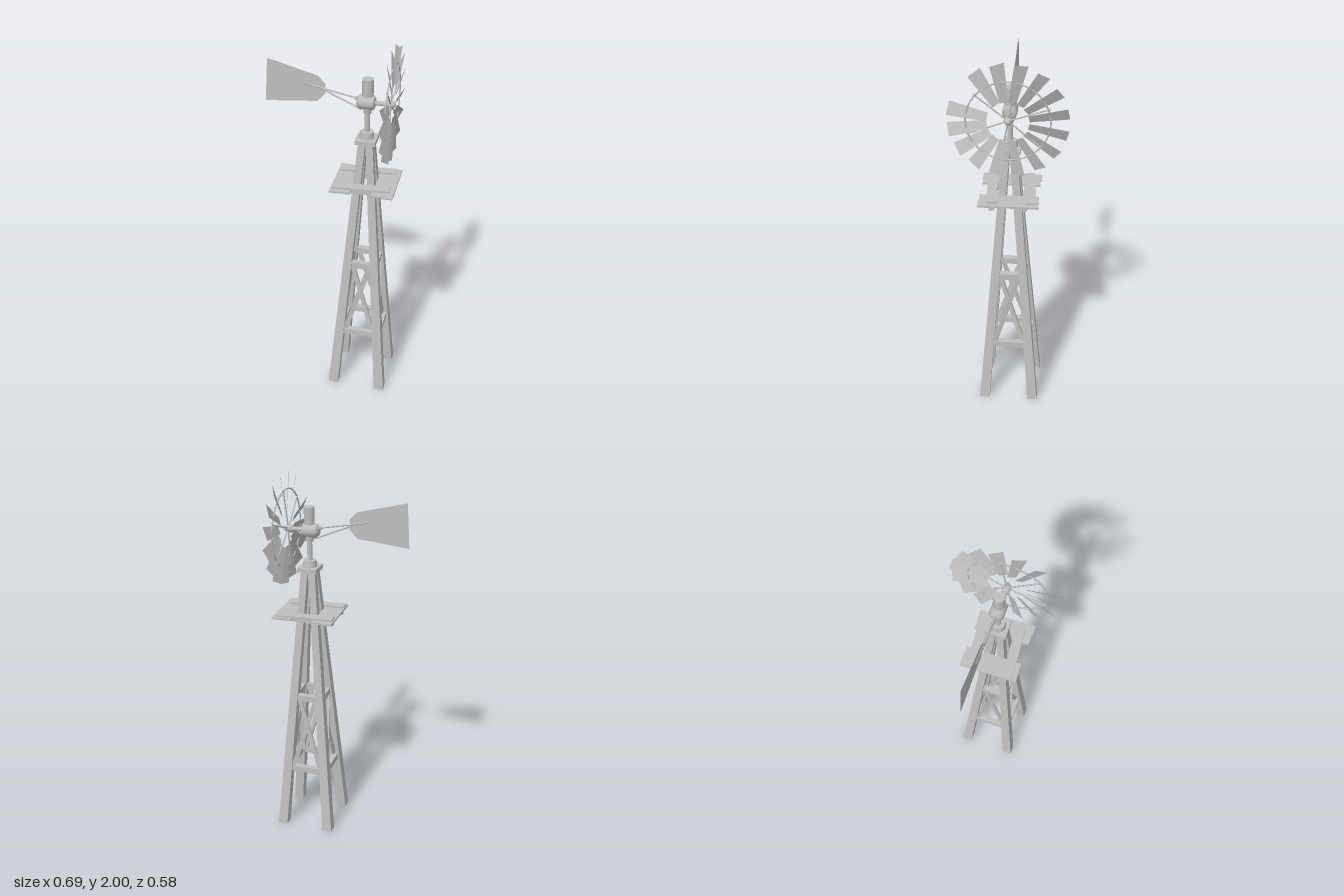
import * as THREE from 'three';

export function createModel() {
  const model = new THREE.Group();
  model.name = 'windPump';
  const grey = new THREE.MeshStandardMaterial({ color: 0xbfbfbf });
  grey.name = 'weathered grey';
  const greySheet = new THREE.MeshStandardMaterial({ color: 0xbfbfbf, side: THREE.DoubleSide });
  greySheet.name = 'weathered grey sheet';
  const CX = 0.177, HUB_Y = 1.712;
  const V = (x, y, z) => new THREE.Vector3(x, y, z);

  const add = (parent, name, geo, x = 0, y = 0, z = 0, mat = grey) => {
    const m = new THREE.Mesh(geo, mat);
    m.name = name;
    m.position.set(x, y, z);
    parent.add(m);
    return m;
  };
  const group = (name, x, y, z, parent = model) => {
    const g = new THREE.Group();
    g.name = name;
    g.position.set(x, y, z);
    parent.add(g);
    return g;
  };
  // Square beam between two points: w is sideways, h is the other thickness
  const beam = (parent, name, a, b, w, h) => {
    const mid = a.clone().add(b).multiplyScalar(0.5);
    const m = add(parent, name, new THREE.BoxGeometry(w, h, a.distanceTo(b)), mid.x, mid.y, mid.z);
    m.quaternion.setFromUnitVectors(V(0, 0, 1), b.clone().sub(a).normalize());
    m.up.set(0, 1, 0);
    const look = new THREE.Matrix4().lookAt(b, a, m.up);
    m.quaternion.setFromRotationMatrix(look);
    return m;
  };
  // Round rod between two points
  const rod = (parent, name, a, b, r) => {
    const mid = a.clone().add(b).multiplyScalar(0.5);
    const m = add(parent, name, new THREE.CylinderGeometry(r, r, a.distanceTo(b), 8), mid.x, mid.y, mid.z);
    m.quaternion.setFromUnitVectors(V(0, 1, 0), b.clone().sub(a).normalize());
    return m;
  };
  // Turned part whose axis lies along x; points are [radius, x]
  const turnedX = (parent, name, pts, x, y) => {
    const m = add(parent, name, new THREE.LatheGeometry(pts.map(p => new THREE.Vector2(...p)), 10), x, y, 0);
    m.rotation.z = -Math.PI / 2;
    return m;
  };

  // Tower: four tapering, leaning legs
  const tower = group('tower', CX, 0, 0);
  const legOffset = y => 0.133 - 0.076 * y;
  for (const sx of [-1, 1]) for (const sz of [-1, 1]) {
    const geo = new THREE.BoxGeometry(1, 1.5, 1);
    const p = geo.attributes.position;
    for (let i = 0; i < p.count; i++) {
      const y = p.getY(i) + 0.75, w = 0.053 - 0.011 * y, c = legOffset(y);
      p.setXYZ(i, sx * c + p.getX(i) * w, y, sz * c + p.getZ(i) * w);
    }
    geo.computeVertexNormals();
    add(tower, 'leg', geo);
  }

  // Rails and cross braces on each side
  for (let k = 0; k < 4; k++) {
    const side = group('sideBracing', 0, 0, 0, tower);
    side.rotation.y = k * Math.PI / 2;
    for (const y of [0.358, 0.79]) {
      const c = legOffset(y);
      add(side, 'rail', new THREE.BoxGeometry(2 * c - 0.03, 0.034, 0.03), 0, y, c);
    }
    for (const s of [-1, 1]) {
      const lo = legOffset(0.36), hi = legOffset(0.79);
      beam(side, 'crossBrace', V(-s * (lo - 0.027), 0.36, lo + s * 0.006),
        V(s * (hi - 0.022), 0.79, hi + s * 0.006), 0.012, 0.024);
    }
  }

  // Work platform: bearers, planks across, and slightly skewed planks on top
  const platform = group('platform', CX, 0, 0);
  for (const z of [-0.08, 0.08])
    add(platform, 'bearer', new THREE.BoxGeometry(0.304, 0.024, 0.026), 0, 1.252, z);
  [-0.134, -0.081, 0.085, 0.138].forEach((x, i) => {
    const outer = i % 3 === 0;
    const m = add(platform, 'crossPlank', new THREE.BoxGeometry(0.054, 0.01, outer ? 0.3 : 0.294), x, 1.268, 0);
    m.rotation.y = outer ? 0.012 : 0;
  });
  for (const z of [-0.101, 0.091]) {
    const m = add(platform, 'topPlank', new THREE.BoxGeometry(0.295, 0.01, 0.052), -0.007, 1.279, z);
    m.rotation.y = 0.074;
  }

  // Tower cap and mast
  const cap = group('towerCap', CX, 0, 0);
  add(cap, 'capPlate', new THREE.BoxGeometry(0.104, 0.022, 0.108), 0, 1.51, 0);
  add(cap, 'capCollar', new THREE.CylinderGeometry(0.034, 0.038, 0.035, 12), 0, 1.538, 0);
  add(cap, 'mast', new THREE.CylinderGeometry(0.014, 0.014, 0.13, 8), 0, 1.61, 0);
  add(cap, 'mastSocket', new THREE.CylinderGeometry(0.023, 0.019, 0.032, 10), 0, 1.67, 0);

  // Gearbox with upright housing and drive shaft
  const head = group('gearHead', CX, HUB_Y, 0);
  turnedX(head, 'gearbox', [[0, -0.052], [0.024, -0.052], [0.037, -0.036], [0.037, 0.03], [0.026, 0.038], [0, 0.038]], 0, 0);
  add(head, 'gearHousing', new THREE.CylinderGeometry(0.029, 0.029, 0.09, 8), 0, 0.078, 0);
  rod(head, 'driveShaft', V(0.03, 0, 0), V(0.1, 0, 0), 0.012);
  turnedX(head, 'wheelHub', [[0, 0.089], [0.02, 0.089], [0.02, 0.117], [0.016, 0.13], [0.008, 0.139], [0, 0.142]], 0, 0);

  // Wheel: spokes, ring and pitched blades, with one blade lost
  const wheel = group('wheel', 0.301, HUB_Y, 0);
  const bladeShape = new THREE.Shape([[-0.021, 0.1], [0.021, 0.1], [0.035, 0.287], [-0.035, 0.287]]
    .map(p => new THREE.Vector2(...p)));
  const bladeGeo = new THREE.ShapeGeometry(bladeShape).rotateY(Math.PI / 2);
  for (let k = 0; k < 16; k++) {
    if (k === 13) continue;
    const arm = group('bladeArm', 0, 0, 0, wheel);
    arm.rotation.x = -(12.5 + k * 22.5) * Math.PI / 180;
    add(arm, 'blade', bladeGeo, 0, 0, 0, greySheet).rotation.y = 0.4;
  }
  for (let k = 0; k < 6; k++) {
    const a = (10 + k * 60) * Math.PI / 180;
    rod(wheel, 'spoke', V(-0.01, 0, 0), V(-0.002, 0.21 * Math.cos(a), -0.21 * Math.sin(a)), 0.004);
  }
  add(wheel, 'ring', new THREE.TorusGeometry(0.2, 0.004, 6, 48).rotateY(Math.PI / 2));

  // Tail vane on two converging rods
  const tail = group('tail', 0, 0, 0);
  const vane = new THREE.Shape([[-0.33, 1.893], [-0.345, 1.665], [-0.077, 1.69], [-0.035, 1.735],
    [-0.035, 1.785], [-0.072, 1.825]].map(p => new THREE.Vector2(...p)));
  add(tail, 'vane', new THREE.ShapeGeometry(vane), 0, 0, 0, greySheet);
  rod(tail, 'upperTailRod', V(0.135, 1.726, 0), V(-0.14, 1.779, 0), 0.004);
  rod(tail, 'lowerTailRod', V(0.15, 1.67, 0), V(-0.05, 1.756, 0), 0.004);
  rod(tail, 'tailMount', V(0.113, 1.73, 0), V(0.14, 1.725, 0), 0.009);

  return model;
}
